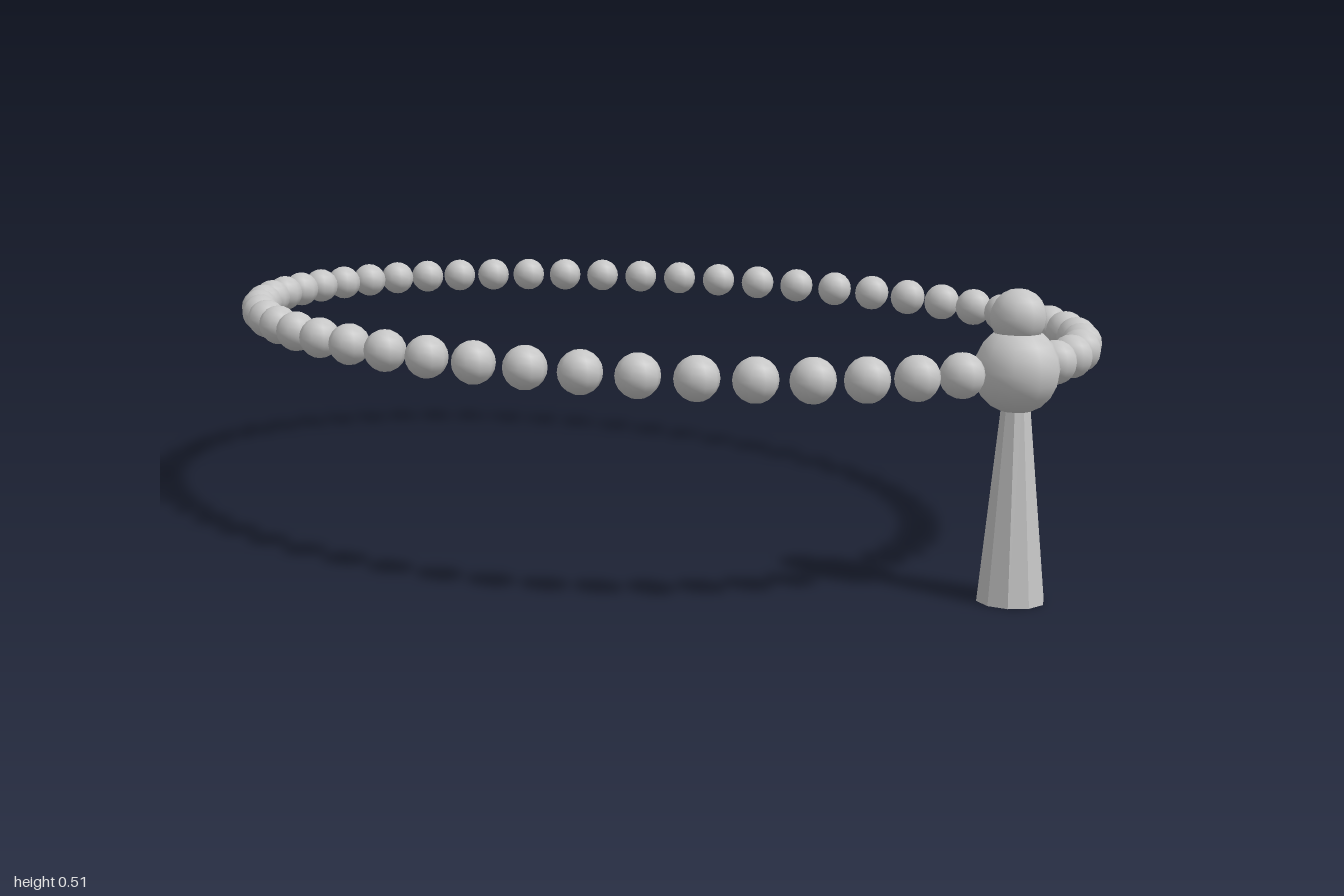
import * as THREE from 'three';

export function createModel() {
  const group = new THREE.Group();
  group.name = 'beadRing';

  const grey = new THREE.MeshStandardMaterial({ color: 0xc6c6c6 });
  grey.name = 'lightGrey';

  const ringY = 0.38, ringZ = -0.017, radiusX = 0.662, radiusZ = 0.948;
  const frontZ = ringZ + radiusZ;

  function add(name, geometry, x, y, z) {
    const mesh = new THREE.Mesh(geometry, grey);
    mesh.name = name;
    mesh.position.set(x, y, z);
    group.add(mesh);
  }

  // Oval ring of beads; the two slots at the front make room for the large bead
  const slots = 54;
  const bead = new THREE.SphereGeometry(0.037, 10, 10);
  for (let i = 1; i < slots - 1; i++) {
    const a = ((i + 0.5) / slots) * Math.PI * 2;
    add('bead', bead, Math.sin(a) * radiusX, ringY, ringZ + Math.cos(a) * radiusZ);
  }

  // Large bead with a small bead on top
  add('largeBead', new THREE.SphereGeometry(0.071, 10, 10), 0, ringY, frontZ);
  add('topBead', new THREE.SphereGeometry(0.046, 10, 10), 0, 0.465, frontZ);

  // Ten-sided flared tassel with sharp facets, corners on the x axis
  const tassel = new THREE.CylinderGeometry(0.02, 0.056, 0.36, 10, 1, false, Math.PI / 2)
    .toNonIndexed();
  tassel.computeVertexNormals();
  add('tassel', tassel, 0, 0.18, frontZ);

  return group;
}
